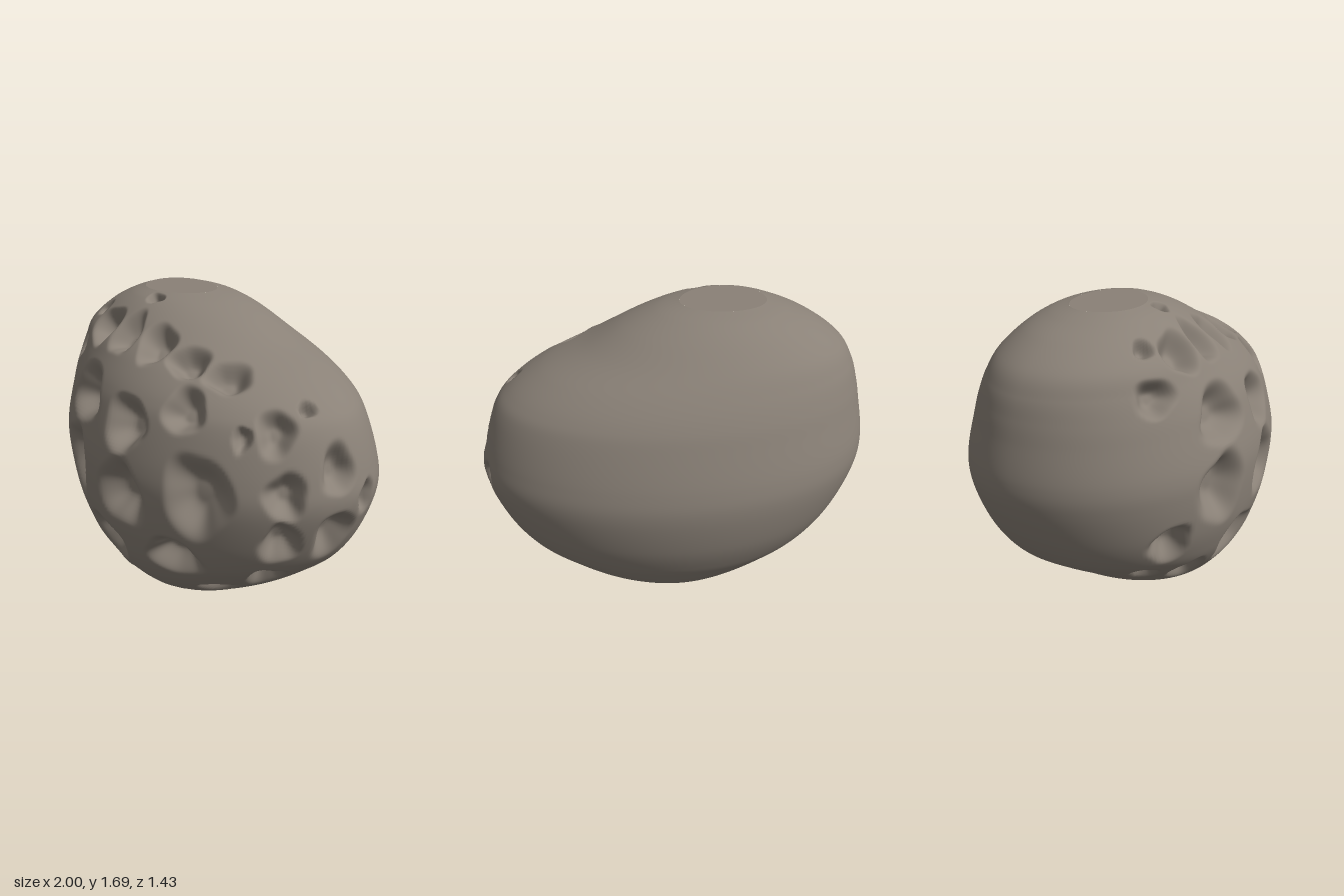
import * as THREE from 'three';

// Outline per height: y, left x, right x, back z, front z
const OUTLINE = [
  [0, 0, 0, 0, 0], [0.04, -0.11, 0.14, -0.12, 0.15], [0.1, -0.22, 0.27, -0.24, 0.3],
  [0.2, -0.4, 0.44, -0.38, 0.455], [0.3, -0.54, 0.6, -0.49, 0.55], [0.4, -0.68, 0.73, -0.57, 0.615],
  [0.5, -0.8, 0.84, -0.63, 0.655], [0.65, -0.9, 0.93, -0.685, 0.695], [0.85, -0.98, 0.998, -0.715, 0.715],
  [1.0, -1, 0.985, -0.7, 0.705], [1.2, -0.97, 0.92, -0.64, 0.65], [1.3, -0.95, 0.84, -0.6, 0.61],
  [1.4, -0.92, 0.68, -0.54, 0.55], [1.5, -0.86, 0.45, -0.46, 0.48], [1.6, -0.72, 0.25, -0.35, 0.37],
  [1.66, -0.58, 0.09, -0.25, 0.28], [1.69, -0.48, -0.04, -0.15, 0.2],
];
// Pits seen from the front: x, y, half width, half height
const FRONT_PITS = [
  [-0.23, 1.22, 0.18, 0.17], [0.17, 1.17, 0.15, 0.16], [-0.29, 0.86, 0.18, 0.21], [0.18, 0.82, 0.19, 0.19],
  [-0.04, 0.46, 0.17, 0.17], [-0.54, 0.62, 0.12, 0.14], [0.45, 0.53, 0.17, 0.14], [0.63, 0.91, 0.19, 0.23],
  [-0.29, 0.33, 0.11, 0.14], [0.05, 0.21, 0.11, 0.13], [-0.51, 0.38, 0.08, 0.1], [0.48, 0.28, 0.12, 0.11],
  [0.47, 1.29, 0.12, 0.13], [-0.57, 1.38, 0.12, 0.1], [-0.33, 1.53, 0.13, 0.13], [-0.12, 1.53, 0.1, 0.15],
  [0.1, 1.51, 0.11, 0.14], [0.32, 1.46, 0.12, 0.11], [-0.5, 1.57, 0.06, 0.06], [-0.16, 1.67, 0.06, 0.05],
  [-0.2, 0.15, 0.1, 0.07], [0.25, 0.15, 0.07, 0.06],
];
// Pits seen from the right: z, y, half width, half height
const SIDE_PITS = [
  [0.23, 1.23, 0.1, 0.13], [0.24, 0.95, 0.11, 0.13], [0.23, 0.69, 0.11, 0.14], [0.18, 0.42, 0.11, 0.13],
  [0.15, 0.2, 0.07, 0.06], [-0.02, 1.05, 0.1, 0.14], [-0.03, 0.7, 0.12, 0.17], [-0.2, 0.87, 0.07, 0.1],
  [0.05, 1.31, 0.05, 0.05], [0.36, 1.2, 0.05, 0.07], [0.27, 1.42, 0.13, 0.11],
];

// Smoothly interpolated outline row for t in 0..1
function rowAt(t) {
  const last = OUTLINE.length - 1;
  const s = Math.min(Math.max(t, 0), 1) * last;
  const i = Math.min(Math.floor(s), last - 1);
  const f = s - i;
  const k = (n) => OUTLINE[Math.min(Math.max(n, 0), last)];
  const p = [k(i - 1), k(i), k(i + 1), k(i + 2)];
  const [y, l, r, b, fr] = p[1].map((_, c) => {
    const [a0, a1, a2, a3] = p.map((q) => q[c]);
    const m1 = (a2 - a0) / 2, m2 = (a3 - a1) / 2, f2 = f * f, f3 = f2 * f;
    return (2 * f3 - 3 * f2 + 1) * a1 + (f3 - 2 * f2 + f) * m1 + (3 * f2 - 2 * f3) * a2 + (f3 - f2) * m2;
  });
  return { y, cx: (l + r) / 2, rx: (r - l) / 2, cz: (b + fr) / 2 - 0.035 * (fr - b), b, fr };
}

// Undented surface: half ellipses, a little fuller at back left than front right
function surface(theta, t) {
  const r = rowAt(t);
  const s = Math.sin(theta);
  const skew = 1 - 0.03 * Math.sin(2 * theta) * Math.sin(theta + Math.PI / 4);
  const z = r.cz + skew * s * (s > 0 ? r.fr - r.cz : r.cz - r.b);
  return new THREE.Vector3(r.cx + skew * r.rx * Math.cos(theta), r.y, z);
}

function tAtHeight(y) {
  let lo = 0, hi = 1;
  for (let i = 0; i < 30; i++) {
    const mid = (lo + hi) / 2;
    if (rowAt(mid).y < y) lo = mid; else hi = mid;
  }
  return lo;
}

// Pit with its own frame on the surface
function makePit([h, y, a, b], fromSide, seed) {
  const t = tAtHeight(y), r = rowAt(t);
  const clamp = (v) => Math.min(Math.max(v, -0.99), 0.99);
  const theta = fromSide
    ? Math.asin(clamp((h - r.cz) / (h > r.cz ? r.fr - r.cz : r.cz - r.b)))
    : Math.acos(clamp((h - r.cx) / r.rx));
  const centre = surface(theta, t);
  const u = surface(theta + 0.01, t).sub(surface(theta - 0.01, t)).normalize();
  const up = surface(theta, t + 0.005).sub(surface(theta, t - 0.005));
  const n = up.clone().cross(u).normalize();
  const v = u.clone().cross(n).normalize();
  return { centre, u, v, n, a, b, seed, depth: Math.min(0.115, 0.025 + 0.6 * Math.min(a, b)) };
}

// Push a point into the deepest pit covering it
function dent(p, pits) {
  let best = 0, normal = null;
  for (const pit of pits) {
    const d = p.clone().sub(pit.centre);
    if (d.lengthSq() > 0.15) continue;
    const du = d.dot(pit.u) / pit.a, dv = d.dot(pit.v) / pit.b;
    const ang = Math.atan2(dv, du);
    const wobble = 1 + 0.08 * Math.sin(3 * ang + pit.seed * 2.1) + 0.03 * Math.sin(5 * ang + pit.seed);
    const amount = pit.depth * (1 - THREE.MathUtils.smoothstep(Math.hypot(du, dv) * wobble, 0.2, 1));
    if (amount > best) { best = amount; normal = pit.n; }
  }
  return normal ? p.addScaledVector(normal, -best) : p;
}

function bodyGeometry() {
  const pits = [
    ...FRONT_PITS.map((p, i) => makePit(p, false, i)),
    ...SIDE_PITS.map((p, i) => makePit(p, true, i + 40)),
  ];
  const cols = 270, rows = 230, positions = [], index = [];
  for (let j = 0; j <= rows; j++) {
    for (let i = 0; i < cols; i++) {
      // Columns are closer together on the pitted side
      const phi = (i / cols) * Math.PI * 2;
      const theta = phi - 0.4 * Math.sin(phi - Math.PI / 3);
      positions.push(...dent(surface(theta, j / rows), pits).toArray());
      if (j === rows) continue;
      const a = j * cols + i, b = j * cols + ((i + 1) % cols);
      if (j > 0) index.push(a, a + cols, b);
      index.push(b, a + cols, b + cols);
    }
  }
  const geometry = new THREE.BufferGeometry();
  geometry.setAttribute('position', new THREE.Float32BufferAttribute(positions, 3));
  geometry.setIndex(index);
  geometry.computeVertexNormals();
  return geometry;
}

// Flat top closing the body
function capGeometry() {
  const outline = [];
  for (let i = 0; i < 96; i++) {
    const p = surface((i / 96) * Math.PI * 2, 1);
    outline.push(new THREE.Vector2(p.x, -p.z));
  }
  return new THREE.ShapeGeometry(new THREE.Shape(outline)).rotateX(-Math.PI / 2).translate(0, 1.69, 0);
}

export function createModel() {
  const stone = new THREE.MeshStandardMaterial({ color: 0x8a8177 });
  stone.name = 'stone';
  const group = new THREE.Group();
  group.name = 'pittedStone';
  const body = new THREE.Mesh(bodyGeometry(), stone);
  body.name = 'stoneBody';
  const cap = new THREE.Mesh(capGeometry(), stone);
  cap.name = 'flatTop';
  group.add(body, cap);
  return group;
}
